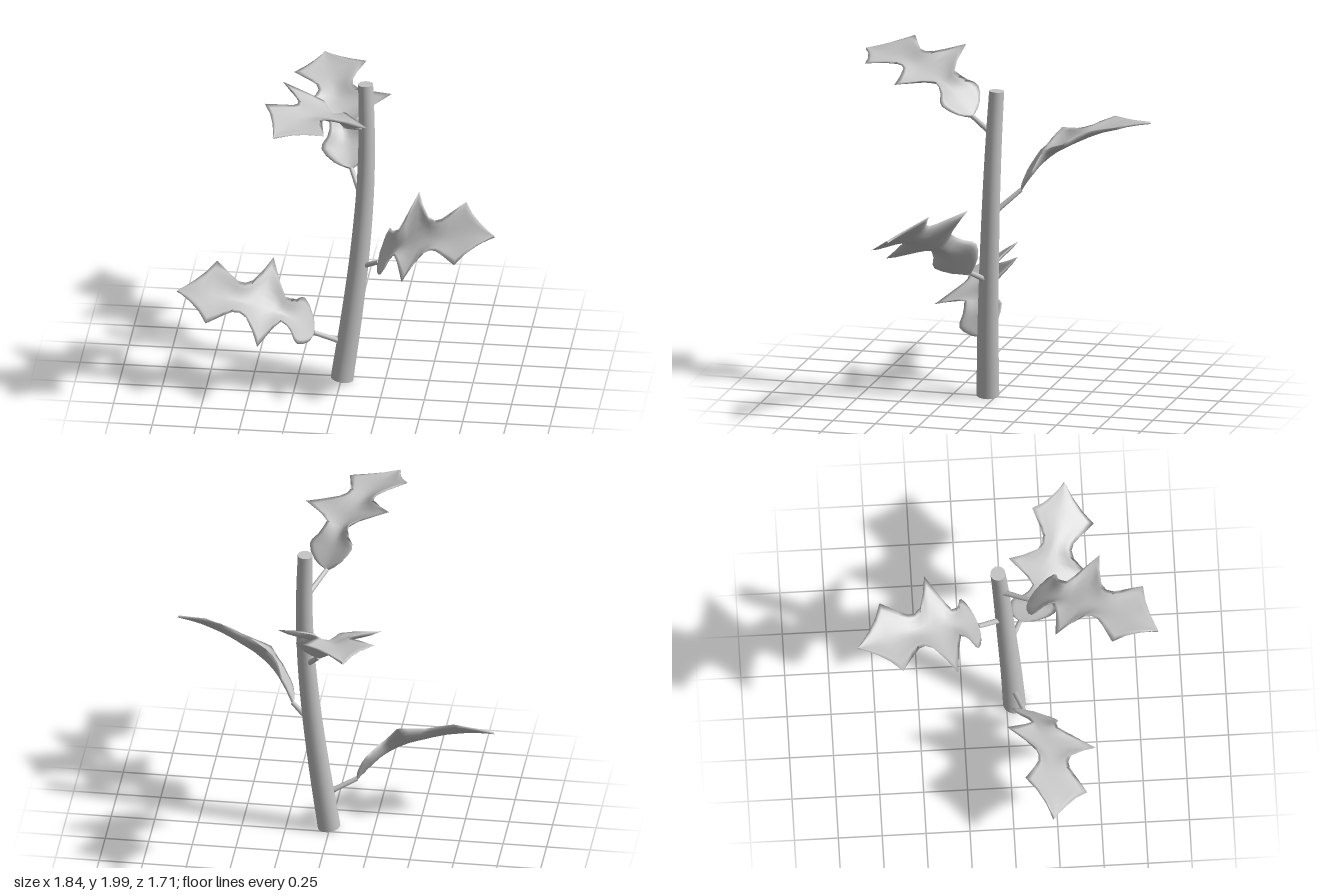
import * as THREE from 'three';

const V = (a) => new THREE.Vector3(...a);

// leaf cross-sections: [distance from base, half width, midrib lift, edge lift]
const SECTIONS = [
  [0, 0.008, 0, 0], [0.015, 0.06, 0.01, 0.02], [0.035, 0.095, 0.022, 0.035], [0.07, 0.133, 0.04, 0.062],
  [0.105, 0.153, 0.055, 0.083], [0.13, 0.145, 0.066, 0.098], [0.16, 0.11, 0.077, 0.118], [0.195, 0.09, 0.088, 0.138],
  [0.235, 0.083, 0.097, 0.15], [0.28, 0.15, 0.103, 0.16], [0.35, 0.3, 0.106, 0.167], [0.39, 0.21, 0.103, 0.16],
  [0.44, 0.125, 0.098, 0.148], [0.48, 0.1, 0.095, 0.138], [0.52, 0.105, 0.09, 0.13], [0.57, 0.14, 0.083, 0.12],
  [0.655, 0.21, 0.063, 0.098], [0.7, 0.135, 0.051, 0.075], [0.75, 0.075, 0.033, 0.047], [0.8, 0.027, 0.013, 0.018],
  [0.83, 0.002, 0, 0],
];
const COLS = 10, RING = COLS * 2;

// thin cupped blade, closed on both sides: length along x, width along y, lift along z
function leafGeometry() {
  const pos = [], index = [];
  SECTIONS.forEach(([s, w, mid, edge], i) => {
    for (let k = 0; k < RING; k++) {
      // upper face from one rim to the other, then back along the lower face
      const f = (k <= COLS ? k : RING - k) / COLS * 2 - 1;
      const half = k % COLS === 0 ? 0 : 0.007 * Math.sign(COLS - k);
      pos.push(s, w * f, mid + (edge - mid) * Math.abs(f) ** 1.5 + half);
      if (i) {
        const next = (k + 1) % RING, b = i * RING, a = b - RING;
        index.push(a + k, b + k, b + next, a + k, b + next, a + next);
      }
    }
  });
  const g = new THREE.BufferGeometry();
  g.setAttribute('position', new THREE.Float32BufferAttribute(pos, 3));
  g.setIndex(index);
  g.computeVertexNormals();
  return g;
}

// round tube whose radius narrows from r0 to r1, with closed ends
function taperedTube(points, r0, r1, material, sides = 20, steps = 24) {
  const curve = new THREE.CatmullRomCurve3(points.map(V));
  const group = new THREE.Group();
  const g = new THREE.TubeGeometry(curve, steps, 1, sides, false);
  const p = g.attributes.position, v = new THREE.Vector3();
  for (let i = 0; i < p.count; i++) {
    const t = Math.floor(i / (sides + 1)) / steps;
    const c = curve.getPointAt(t);
    v.fromBufferAttribute(p, i).sub(c).multiplyScalar(r0 + (r1 - r0) * t).add(c);
    p.setXYZ(i, v.x, v.y, v.z);
  }
  group.add(new THREE.Mesh(g, material));
  for (const [t, r, sign] of [[0, r0, -1], [1, r1, 1]]) {
    const cap = new THREE.Mesh(new THREE.CircleGeometry(r, sides), material);
    cap.position.copy(curve.getPointAt(t));
    cap.quaternion.setFromUnitVectors(new THREE.Vector3(0, 0, 1), curve.getTangentAt(t).multiplyScalar(sign));
    group.add(cap);
  }
  return group;
}

export function createModel() {
  const model = new THREE.Group();
  model.name = 'plant';
  const grey = new THREE.MeshStandardMaterial({ color: 0xc4c4c4 });
  grey.name = 'plant grey';

  // gently leaning stem
  const stem = taperedTube([
    [0.005, 0.013, 0.045], [0.058, 0.4, 0.03], [0.103, 0.8, 0.01],
    [0.132, 1.2, -0.01], [0.138, 1.55, -0.027], [0.13, 1.843, -0.042],
  ], 0.065, 0.043, grey);
  stem.name = 'stem';
  model.add(stem);

  // leaves: stalk root on the stem, blade base, blade tip, direction across the blade
  const leaves = [
    ['lowerRightLeaf', [0.02, 0.235, 0.035], [-0.15, 0.315, 0.09], [-0.92, 0.6, 0.22], [-0.03, -0.55, 0.83]],
    ['lowerLeftLeaf', [0.11, 0.715, 0.015], [0.22, 0.785, 0.09], [0.92, 1.13, 0.38], [0.08, 0.56, -0.83]],
    ['upperBackLeaf', [0.125, 1.1, 0], [0.035, 1.245, -0.16], [-0.2, 1.63, -0.86], [-0.95, -0.1, 0.28]],
    ['upperFrontLeaf', [0.12, 1.57, -0.03], [0.03, 1.655, 0.13], [-0.3, 1.92, 0.86], [0.87, -0.22, 0.46]],
  ];
  const blade = leafGeometry();
  for (const [name, root, base, tip, across] of leaves) {
    const leaf = new THREE.Group();
    leaf.name = name;
    const stalk = taperedTube([root, base], 0.017, 0.013, grey, 10, 4);
    stalk.name = 'leafStalk';

    const u = V(tip).sub(V(base)).normalize();
    const n = u.clone().cross(V(across)).normalize();
    const w = n.clone().cross(u);
    const mesh = new THREE.Mesh(blade, grey);
    mesh.name = 'leafBlade';
    mesh.quaternion.setFromRotationMatrix(new THREE.Matrix4().makeBasis(u, w, n));
    mesh.position.copy(V(base));
    leaf.add(stalk, mesh);
    model.add(leaf);
  }
  return model;
}
